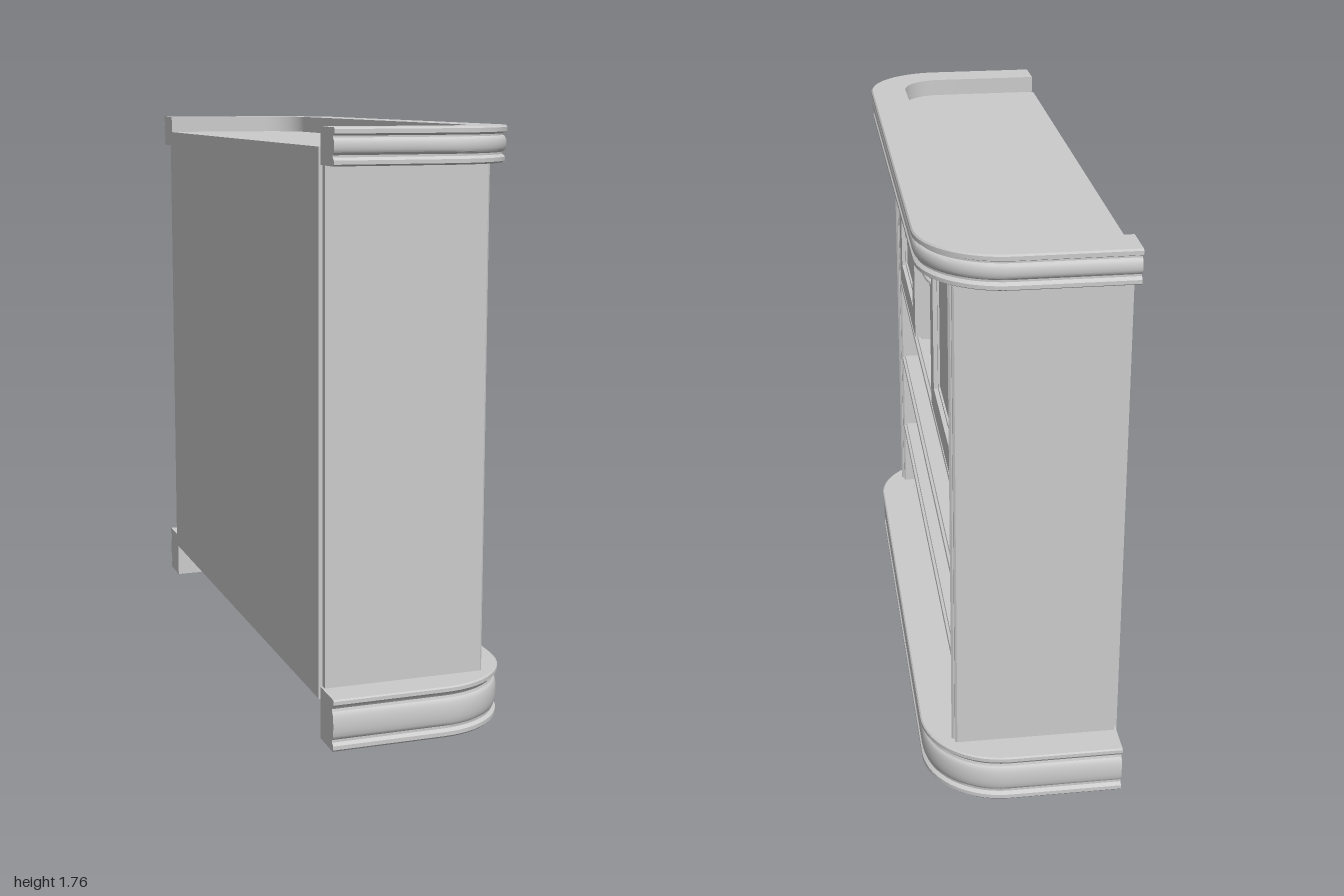
import * as THREE from 'three';
import { toCreasedNormals } from 'three/addons/utils/BufferGeometryUtils.js';

const material = new THREE.MeshStandardMaterial({ color: 0xcccccc });

function add(parent, name, geometry, x = 0, y = 0, z = 0) {
  const mesh = new THREE.Mesh(geometry, material);
  mesh.name = name;
  mesh.position.set(x, y, z);
  parent.add(mesh);
  return mesh;
}

function box(parent, name, x0, x1, y0, y1, z0, z1) {
  return add(parent, name, new THREE.BoxGeometry(x1 - x0, y1 - y0, z1 - z0),
    (x0 + x1) / 2, (y0 + y1) / 2, (z0 + z1) / 2);
}

const shapeOf = (points) => new THREE.Shape(points.map(([x, y]) => new THREE.Vector2(x, y)));

// Plan outline, back edge to back edge round the two front corners, with outward normals
const BACK = -0.295, RADIUS = 0.25, STEPS = 14;
const outline = [{ x: BACK, z: -1, nx: 0, nz: -1 }];
for (const side of [-1, 1]) {
  for (let i = 0; i <= STEPS; i++) {
    const a = (side < 0 ? i - STEPS : i) / STEPS * Math.PI / 2;
    const nx = Math.cos(a), nz = Math.sin(a);
    outline.push({ x: 0.3 - RADIUS + RADIUS * nx, z: side * (1 - RADIUS) + RADIUS * nz, nx, nz });
  }
}
outline.push({ x: BACK, z: 1, nx: 0, nz: 1 });

// Sweeps a closed counter-clockwise section [offset outwards, height] along the outline
function moulding(section) {
  const at = (p, [o, y]) => [p.x + p.nx * o, y, p.z + p.nz * o];
  const pos = [];
  const n = section.length;
  for (let i = 0; i < outline.length - 1; i++) {
    for (let j = 0; j < n; j++) {
      const s = section[j], t = section[(j + 1) % n];
      const a = at(outline[i], s), b = at(outline[i], t);
      const c = at(outline[i + 1], t), d = at(outline[i + 1], s);
      pos.push(...a, ...b, ...c, ...a, ...c, ...d);
    }
  }
  const flat = section.map(([o, y]) => new THREE.Vector2(o, y));
  const first = outline[0], last = outline[outline.length - 1];
  for (const [a, b, c] of THREE.ShapeUtils.triangulateShape(flat, [])) {
    pos.push(...at(first, section[a]), ...at(first, section[c]), ...at(first, section[b]));
    pos.push(...at(last, section[a]), ...at(last, section[b]), ...at(last, section[c]));
  }
  const g = new THREE.BufferGeometry();
  g.setAttribute('position', new THREE.Float32BufferAttribute(pos, 3));
  return toCreasedNormals(g, 0.6);
}

// Board filling the inside of a moulding
function insetBoard(height) {
  const pts = outline.map((p) => [p.x - p.nx * 0.12, -(p.z - p.nz * 0.12)]);
  const g = new THREE.ExtrudeGeometry(shapeOf(pts), { depth: height, bevelEnabled: false });
  return g.rotateX(-Math.PI / 2);
}

// Rounded bulge between two heights
function bulge(y0, y1, inner, outer) {
  const pts = [];
  for (let i = 0; i <= 8; i++) {
    const a = (i / 8 - 0.5) * Math.PI;
    pts.push([inner + (outer - inner) * Math.cos(a), (y0 + y1) / 2 + (y1 - y0) / 2 * Math.sin(a)]);
  }
  return pts;
}

function makeDoor(side) {
  const door = new THREE.Group();
  door.name = side > 0 ? 'doorPositiveZ' : 'doorNegativeZ';
  const rect = (w, h) => [[-w, -h], [w, -h], [w, h], [-w, h]];
  const frame = (w, h, hw, hh, depth) => {
    const s = shapeOf(rect(w, h));
    s.holes.push(new THREE.Path(rect(hw, hh).reverse().map(([x, y]) => new THREE.Vector2(x, y))));
    return new THREE.ExtrudeGeometry(s, { depth, bevelEnabled: false }).rotateY(Math.PI / 2);
  };
  const z = side * 0.562, y = 1.333;
  add(door, 'doorFrame', frame(0.293, 0.318, 0.21, 0.235, 0.025), 0.178, y, z);
  add(door, 'innerBead', frame(0.212, 0.237, 0.2, 0.225, 0.012), 0.178, y, z);
  box(door, 'doorPanel', 0.172, 0.184, y - 0.237, y + 0.237, z - 0.212, z + 0.212);

  // Bowed handle with a rounded foot at each end
  const hz = side * 0.308;
  const bow = new THREE.CatmullRomCurve3([[0.2, 1.435], [0.215, 1.45], [0.228, 1.485], [0.215, 1.52], [0.2, 1.535]]
    .map(([px, py]) => new THREE.Vector3(px, py, hz)));
  add(door, 'handle', new THREE.TubeGeometry(bow, 24, 0.006, 10));
  for (const fy of [1.437, 1.533]) {
    add(door, 'handleFoot', new THREE.SphereGeometry(0.01, 12, 8), 0.203, fy, hz).scale.set(0.6, 1.1, 0.8);
  }
  for (const hy of [1.105, 1.56]) {
    add(door, 'hinge', new THREE.CylinderGeometry(0.005, 0.005, 0.022, 10), 0.201, hy, side * 0.853);
  }
  return door;
}

export function createModel() {
  const model = new THREE.Group();
  model.name = 'cabinet';

  // Base and crown mouldings
  add(model, 'baseMoulding', moulding([
    [-0.12, 0], [-0.01, 0], [-0.004, 0.006], [-0.004, 0.018], [-0.014, 0.026],
    ...bulge(0.034, 0.118, -0.014, -0.003),
    [-0.016, 0.126], [-0.01, 0.136], [0, 0.142], [0, 0.153], [-0.004, 0.157], [-0.12, 0.157],
  ]));
  add(model, 'crownMoulding', moulding([
    [-0.12, 1.66], [-0.014, 1.66], [-0.005, 1.665], [-0.005, 1.676], [-0.014, 1.684],
    ...bulge(1.69, 1.737, -0.014, -0.002),
    [-0.014, 1.742], [0, 1.748], [0, 1.76], [-0.004, 1.765], [-0.12, 1.765],
  ]));
  add(model, 'floorBoard', insetBoard(0.035), 0, 0.12, 0);
  add(model, 'topBoard', insetBoard(0.05), 0, 1.66, 0);
  box(model, 'backPanel', -0.3, -0.285, 0.12, 1.71, -0.88, 0.88);

  // Side panels with a beaded front edge
  const edge = [[-0.288, 0.85], [0.2, 0.85], [0.206, 0.855], [0.206, 0.863], [0.2, 0.866],
    [0.209, 0.869], [0.215, 0.875], [0.209, 0.881], [0.2, 0.884], [0.206, 0.887],
    [0.206, 0.895], [0.2, 0.9], [-0.288, 0.9]];
  for (const side of [-1, 1]) {
    const g = new THREE.ExtrudeGeometry(shapeOf(edge.map(([x, z]) => [x, -side * z])),
      { depth: 1.53, bevelEnabled: false }).rotateX(-Math.PI / 2);
    add(model, side > 0 ? 'sidePanelPositiveZ' : 'sidePanelNegativeZ', g, 0, 0.14, 0);
  }

  // Shelves with a moulded front lip
  const lip = [[-0.288, 0], [0.182, 0], [0.188, 0.004], [0.188, 0.012], [0.194, 0.018],
    [0.202, 0.022], [0.204, 0.03], [0.202, 0.038], [0.194, 0.04], [0.192, 0.045], [-0.288, 0.045]];
  for (const y of [0.361, 0.651, 0.961]) {
    const g = new THREE.ExtrudeGeometry(shapeOf(lip), { depth: 1.704, bevelEnabled: false });
    add(model, 'shelf', g, 0, y, -0.852);
  }

  // Cupboards either side of the open middle bay
  for (const side of [-1, 1]) {
    const z0 = side > 0 ? 0.27 : -0.29;
    box(model, 'cupboardWall', -0.288, 0.18, 1.0, 1.665, z0, z0 + 0.02);
    model.add(makeDoor(side));
  }
  return model;
}
